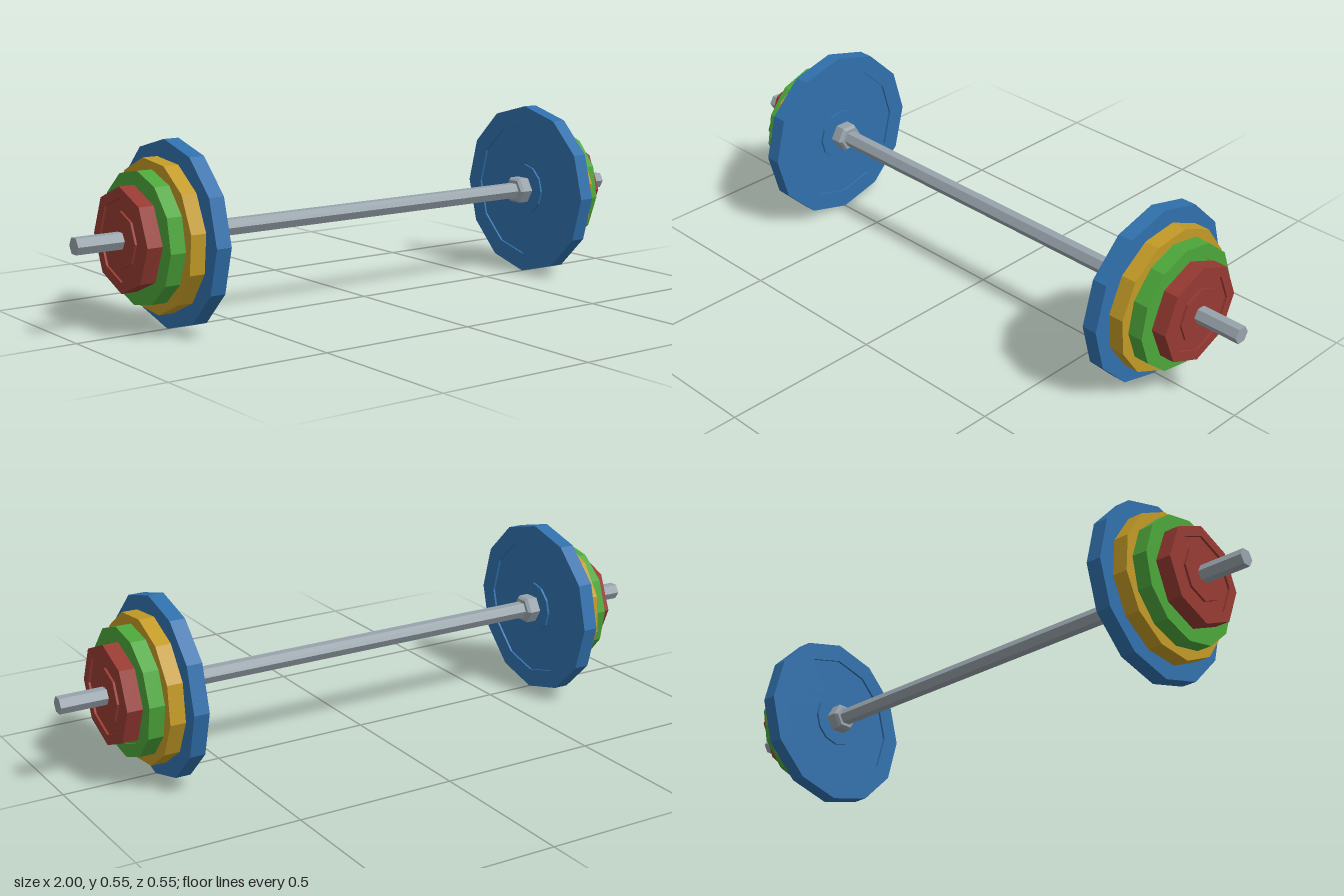
import * as THREE from 'three';

const AXIS_Y = 0.276;

function paint(name, color) {
  const m = new THREE.MeshStandardMaterial({ color });
  m.name = name;
  return m;
}

// Faceted solid turned around the x axis; profile holds [radius, x] pairs
function turned(profile, sides, turn = 0) {
  const points = profile.map(([r, x]) => new THREE.Vector2(r, x));
  const geometry = new THREE.LatheGeometry(points, sides, THREE.MathUtils.degToRad(turn)).toNonIndexed();
  geometry.rotateZ(-Math.PI / 2);
  geometry.computeVertexNormals();
  return geometry;
}

// Weight plate: raised rim and hub, with a shallow groove on both faces
function plateGeometry(radius, thickness, sides, turn) {
  const h = thickness / 2;
  const g = h - 0.007;
  const rim = radius * 0.79;
  const hub = 0.084;
  const bore = 0.025;
  return turned([
    [bore, -h], [hub, -h], [hub, -g], [rim, -g], [rim, -h], [radius, -h],
    [radius, h], [rim, h], [rim, g], [hub, g], [hub, h], [bore, h], [bore, -h],
  ], sides, turn);
}

export function createModel() {
  const model = new THREE.Group();
  model.name = 'barbell';

  const steel = paint('steel grey', 0x98a3ab);
  const plates = [
    { name: 'bluePlate', color: paint('blue', 0x3070ac), radius: 0.276, sides: 12, turn: 0, x: 0.684 },
    { name: 'yellowPlate', color: paint('yellow', 0xc29a26), radius: 0.226, sides: 12, turn: -9.4, x: 0.733 },
    { name: 'greenPlate', color: paint('green', 0x4ca63a), radius: 0.196, sides: 12, turn: 4.7, x: 0.782 },
    { name: 'redPlate', color: paint('red', 0x963a32), radius: 0.154, sides: 8, turn: 0, x: 0.831 },
  ];

  const add = (name, geometry, material, x = 0) => {
    const mesh = new THREE.Mesh(geometry, material);
    mesh.name = name;
    mesh.position.set(x, AXIS_Y, 0);
    model.add(mesh);
    return mesh;
  };

  // Hexagonal bar
  add('bar', turned([[0, -1], [0.027, -1], [0.027, 1], [0, 1]], 6), steel);

  // Collar with a bevelled inner end
  const collar = turned([[0.02, 0.615], [0.038, 0.615], [0.046, 0.624], [0.046, 0.656], [0.042, 0.665], [0.02, 0.665]], 6);

  for (const side of [1, -1]) {
    const label = side > 0 ? 'left' : 'right';
    add(label + 'Collar', collar, steel).rotation.y = side > 0 ? 0 : Math.PI;
    for (const p of plates) {
      const geometry = plateGeometry(p.radius, 0.048, p.sides, p.turn);
      add(label + p.name[0].toUpperCase() + p.name.slice(1), geometry, p.color, side * p.x);
    }
  }
  return model;
}
